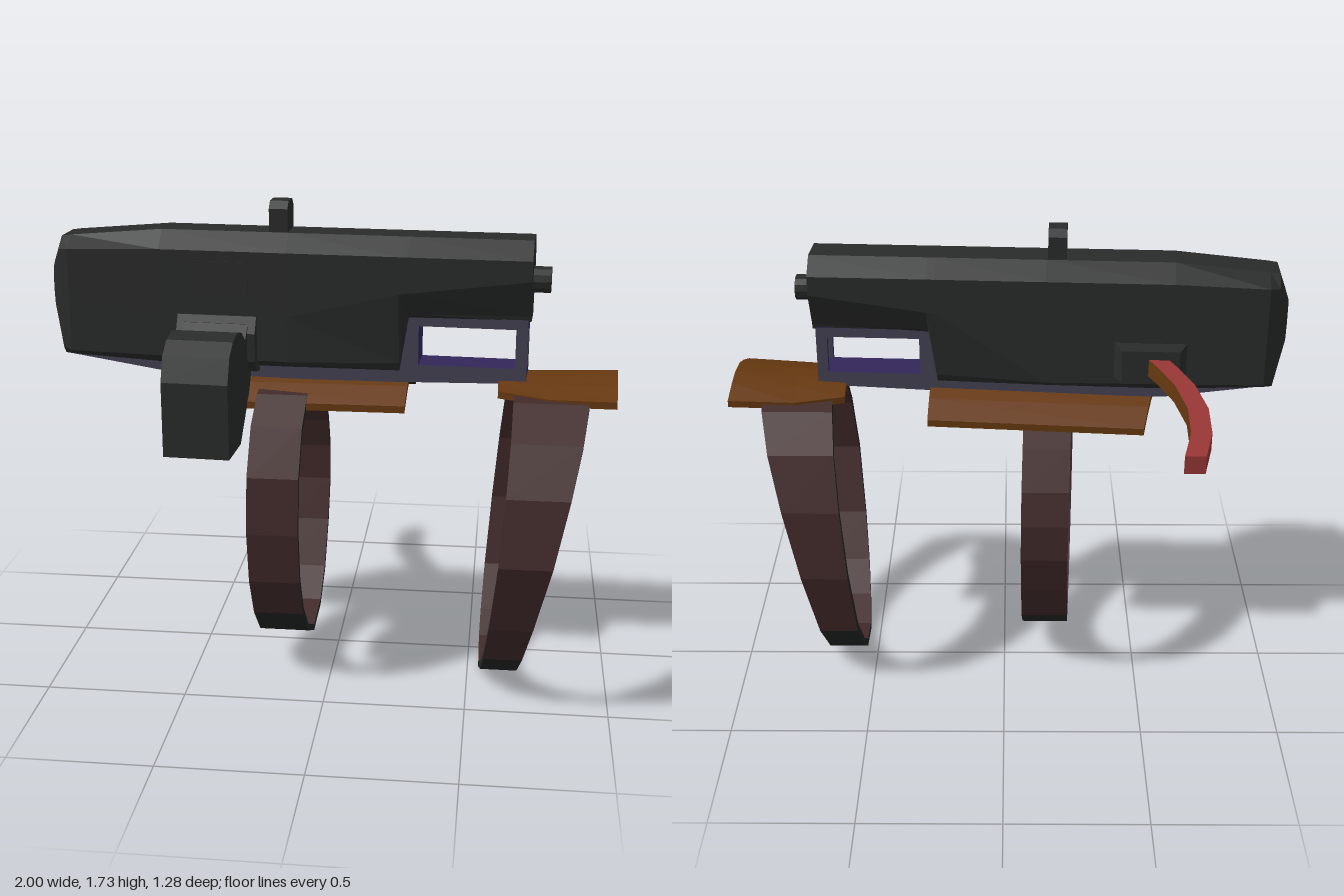
import * as THREE from 'three';

const mat = (name, color) => {
  const m = new THREE.MeshStandardMaterial({ color });
  m.name = name;
  return m;
};

// Sweep a ring of points through sections; pick(side, segment) gives a material index.
function sweep(name, sections, mats, { closed = false, pick = () => 0, capMat = 0 } = {}) {
  const buckets = mats.map(() => []);
  const quad = (k, a, b, c, d) => buckets[k].push(...a, ...b, ...c, ...a, ...c, ...d);
  const n = sections[0].length, count = sections.length;
  for (let j = 0; j < (closed ? count : count - 1); j++) {
    const p = sections[j], q = sections[(j + 1) % count];
    for (let i = 0; i < n; i++) {
      const k = (i + 1) % n;
      quad(pick(i, j), p[i], p[k], q[k], q[i]);
    }
  }
  if (!closed) {
    const s = sections[0], e = sections[count - 1];
    for (let i = 0; i < n / 2 - 1; i++) {
      const a = n - 2 - i, b = n - 1 - i;
      quad(capMat, s[b], s[a], s[i + 1], s[i]);
      quad(capMat, e[i], e[i + 1], e[a], e[b]);
    }
  }
  const geo = new THREE.BufferGeometry();
  geo.setAttribute('position', new THREE.Float32BufferAttribute(buckets.flat(), 3));
  let start = 0;
  buckets.forEach((b, i) => {
    geo.addGroup(start, b.length / 3, i);
    start += b.length / 3;
  });
  geo.computeVertexNormals();
  const mesh = new THREE.Mesh(geo, mats);
  mesh.name = name;
  return mesh;
}

function add(parent, name, geo, material, x = 0, y = 0, z = 0) {
  const mesh = new THREE.Mesh(geo, material);
  mesh.name = name;
  mesh.position.set(x, y, z);
  parent.add(mesh);
  return mesh;
}

const shapeOf = pts => new THREE.Shape(pts.map(p => new THREE.Vector2(...p)));

export function createModel() {
  const black = mat('gunmetal', 0x292a2a);
  const dark = mat('dark strap', 0x222423);
  const leather = mat('leather', 0x422a2a);
  const wood = mat('wood', 0x663810);
  const red = mat('red', 0x983636);
  const greyViolet = mat('grey violet', 0x444153);
  const violet = mat('violet', 0x33265a);

  const model = new THREE.Group();
  model.name = 'strappedLauncher';
  // Upper assembly sits slightly turned about the vertical
  const gun = new THREE.Group();
  gun.name = 'gunAssembly';
  gun.rotation.y = -0.053;
  gun.position.z = 0.13;
  model.add(gun);

  // Body: half sections [half width, y] from top to bottom, mirrored
  const stations = [
    [-1.0, [[0.05, 1.49], [0.065, 1.47], [0.07, 1.4], [0.065, 1.34], [0.05, 1.325]]],
    [-0.965, [[0.06, 1.585], [0.1, 1.545], [0.1, 1.35], [0.1, 1.19], [0.08, 1.165]]],
    [-0.93, [[0.06, 1.59], [0.12, 1.55], [0.12, 1.35], [0.12, 1.185], [0.09, 1.165]]],
    [-0.6, [[0.06, 1.62], [0.12, 1.56], [0.12, 1.34], [0.12, 1.18], [0.09, 1.15]]],
    [-0.15, [[0.06, 1.62], [0.12, 1.56], [0.12, 1.335], [0.12, 1.175], [0.085, 1.15]]],
    [0.24, [[0.06, 1.62], [0.12, 1.56], [0.12, 1.43], [0.085, 1.18], [0.07, 1.15]]],
    [0.27, [[0.06, 1.62], [0.12, 1.56], [0.12, 1.435], [0.08, 1.355], [0.065, 1.34]]],
    [0.69, [[0.06, 1.62], [0.12, 1.56], [0.12, 1.49], [0.065, 1.36], [0.06, 1.34]]],
  ];
  gun.add(sweep('body', stations.map(([x, half]) => [
    ...half.map(([w, y]) => [x, y, w]),
    ...half.slice().reverse().map(([w, y]) => [x, y, -w]),
  ]), [black]));

  // Muzzle stub with a recessed bore
  const muzzleProfile = [[0.046, 0], [0.046, 0.06], [0.03, 0.06], [0.03, 0.015], [0, 0.015]];
  const muzzle = new THREE.LatheGeometry(muzzleProfile.map(p => new THREE.Vector2(...p)), 12).toNonIndexed();
  muzzle.computeVertexNormals();
  add(gun, 'muzzle', muzzle, black, 0.69, 1.475, 0).rotation.z = -Math.PI / 2;

  // Rear sight with clipped top corners
  const sight = new THREE.ExtrudeGeometry(shapeOf([
    [-0.055, 1.6], [0.055, 1.6], [0.055, 1.7], [0.032, 1.725], [-0.032, 1.725], [-0.055, 1.7],
  ]), { depth: 0.065, bevelEnabled: false });
  sight.rotateY(-Math.PI / 2);
  add(gun, 'sight', sight, black, -0.155);

  // Side port cover
  add(gun, 'portCover', new THREE.BoxGeometry(0.21, 0.115, 0.008), black, -0.39, 1.467, 0.12);

  // Lower frame with a window, plus two posts that leave its front open
  const frame = new THREE.ExtrudeGeometry(shapeOf([
    [-0.96, 1.16], [-0.58, 1.105], [0, 1.1], [0.68, 1.12], [0.68, 1.172], [0.305, 1.172],
    [0.305, 1.31], [0.68, 1.31], [0.68, 1.345], [0.265, 1.345], [0.24, 1.19], [-0.96, 1.18],
  ]), { depth: 0.13, bevelEnabled: false });
  add(gun, 'lowerFrame', frame, [greyViolet, violet], 0, 0, -0.065);
  for (const s of [-1, 1]) {
    const post = new THREE.BoxGeometry(0.04, 0.14, 0.018);
    add(gun, 'framePost', post, [violet, violet, violet, violet, greyViolet, greyViolet], 0.66, 1.241, s * 0.056);
  }

  // Side magazine and its collar
  const magazine = new THREE.ExtrudeGeometry(shapeOf([
    [0.08, 1.16], [0.14, 1.06], [0.28, 0.92], [0.455, 0.92], [0.455, 1.18], [0.42, 1.265], [0.365, 1.305],
    [0.3, 1.32], [0.235, 1.305], [0.185, 1.265], [0.14, 1.31], [0.08, 1.33],
  ]), { depth: 0.228, bevelEnabled: false });
  magazine.rotateY(-Math.PI / 2);
  add(gun, 'magazine', magazine, black, -0.282);
  const collar = new THREE.ExtrudeGeometry(shapeOf([
    [0.08, 1.13], [0.13, 1.14], [0.155, 1.18], [0.155, 1.28], [0.125, 1.335], [0.08, 1.335],
  ]), { depth: 0.28, bevelEnabled: false });
  collar.rotateY(-Math.PI / 2);
  add(gun, 'magazineCollar', collar, black, -0.255);

  // Crank bracket: block tapering away from the body
  const bracket = new THREE.BoxGeometry(0.27, 0.14, 0.07);
  const bp = bracket.attributes.position;
  for (let i = 0; i < bp.count; i++) {
    if (bp.getZ(i) < 0) bp.setXY(i, bp.getX(i) * 0.75, bp.getY(i) * 0.85);
  }
  bracket.computeVertexNormals();
  add(gun, 'crankBracket', bracket, black, -0.525, 1.27, -0.14);

  // Curved crank handle, wood on the inner face
  const path = [[-0.53, -0.05], [-0.57, -0.12], [-0.62, -0.23], [-0.652, -0.37], [-0.65, -0.51], [-0.618, -0.64]];
  model.add(sweep('crankHandle', path.map(([x, z]) => {
    const y = 1.27 + 0.147 * (z + 0.05), w = 0.035, h = 0.032;
    return [[x - w, y + h, z], [x + w, y + h, z], [x + w, y - h, z], [x - w, y - h, z]];
  }), [red, wood], { pick: side => (side === 1 ? 1 : 0) }));

  // Arched wooden plates; each end is [x, skew, centre z, half width, crown y, drop]
  const arch = [[-1, 1], [-0.55, 0.35], [-0.2, 0], [0.2, 0], [0.55, 0.35], [1, 1]];
  const plate = (name, ends) => sweep(name, ends.map(([x, skew, zc, half, crown, drop]) => {
    const at = t => arch.map(([u, d]) => [x + skew * u, crown - drop * d - t, zc + half * u]);
    return [...at(0), ...at(0.025).reverse()];
  }), [wood, dark], { pick: i => (i > 5 && i < 11 ? 1 : 0) });
  model.add(plate('rearPlate', [
    [-0.545, -0.045, 0.09, 0.18, 1.11, 0.075],
    [0.27, -0.008, 0.13, 0.182, 1.125, 0.075],
  ]));
  model.add(plate('frontPlate', [
    [0.58, 0, 0.155, 0.14, 1.135, 0.025],
    [0.76, 0, 0.165, 0.18, 1.14, 0.04],
    [0.99, -0.01, 0.178, 0.188, 1.155, 0.05],
  ]));

  // Strap rings: outline as [z, y], width given by xRange(z, y)
  const strap = (name, outline, zc, yc, xRange) => sweep(name, outline.map(([z, y]) => {
    const [a, b] = xRange(z, y);
    const zi = zc + (z - zc) * 0.935, yi = yc + (y - yc) * 0.95;
    return [[a, y, z], [b, y, z], [b, yi, zi], [a, yi, zi]];
  }), [leather, dark], {
    closed: true,
    pick: (side, j) => (side % 2 || (side === 0 && outline[j][1] < 0.3 &&
      outline[(j + 1) % outline.length][1] < 0.3) ? 1 : 0),
  });
  model.add(strap('rearStrap', [
    [0.48, 0.62], [0.46, 0.82], [0.38, 0.98], [0.27, 1.065], [0.15, 1.09], [0, 1.05], [-0.12, 0.97], [-0.21, 0.84],
    [-0.25, 0.72], [-0.25, 0.58], [-0.2, 0.42], [-0.11, 0.25], [0, 0.15], [0.15, 0.11], [0.28, 0.17], [0.38, 0.28],
    [0.45, 0.43],
  ], 0.115, 0.6, z => [-0.25 - 0.053 * (z - 0.12), -0.075 - 0.04 * (z - 0.12)]));
  model.add(strap('frontStrap', [
    [0.64, 0.6], [0.6, 0.83], [0.5, 0.99], [0.36, 1.09], [0.22, 1.125], [0.1, 1.125], [-0.05, 1.08], [-0.18, 0.97],
    [-0.26, 0.78], [-0.285, 0.52], [-0.22, 0.25], [-0.1, 0.1], [0, 0.03], [0.16, 0], [0.3, 0.06], [0.42, 0.16],
    [0.54, 0.33],
  ], 0.18, 0.57, (z, y) => [0.54 + 0.08 * y + 0.03 * (z - 0.15), 0.67 + 0.19 * y ** 1.3 + 0.03 * (z - 0.15)]));

  return model;
}
